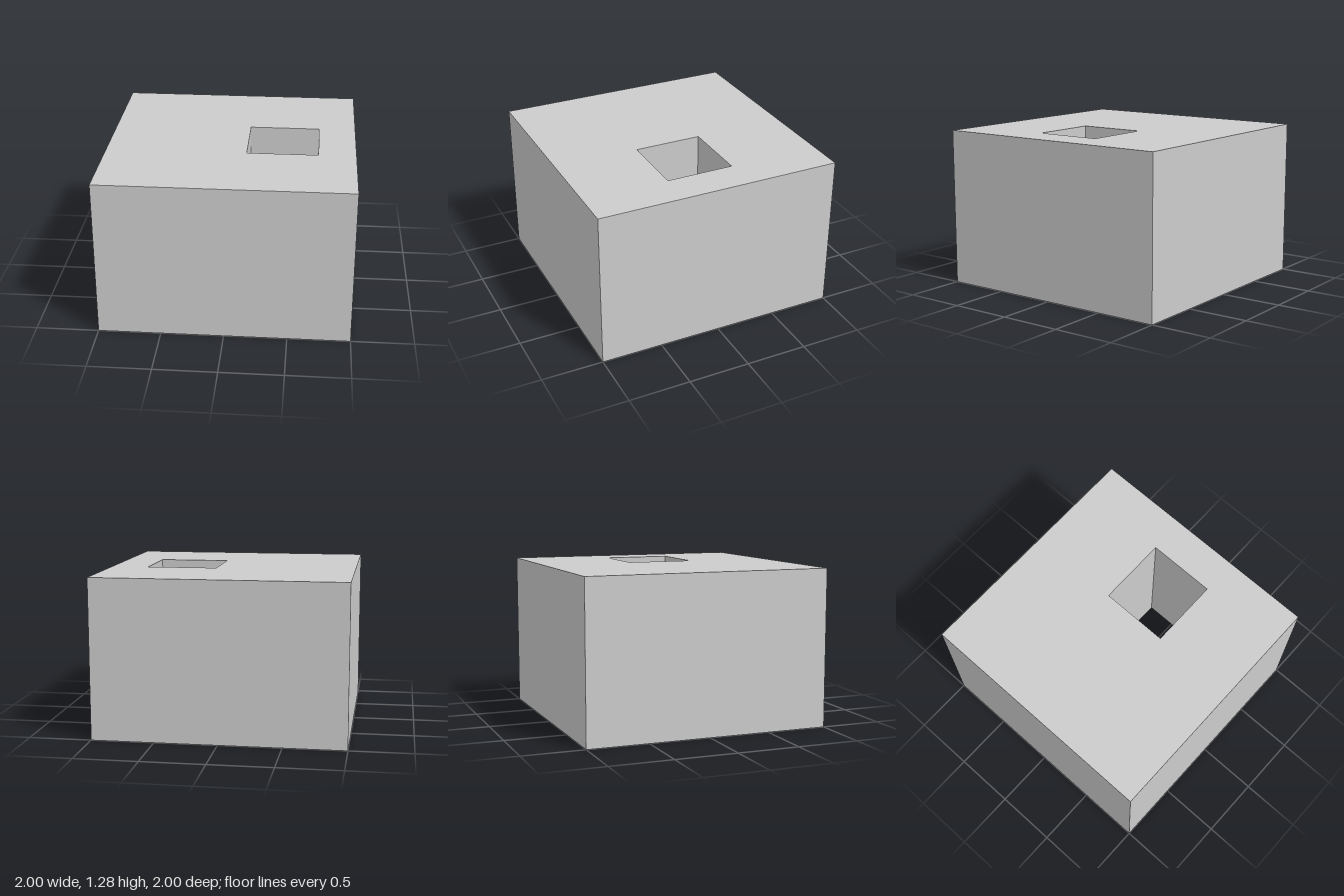
import * as THREE from 'three';

const HEIGHT = 1.28;

// Corners of an axis-aligned rectangle
function rectangle(x0, y0, x1, y1) {
  return [[x0, y0], [x1, y0], [x1, y1], [x0, y1]].map(([x, y]) => new THREE.Vector2(x, y));
}

export function createModel() {
  const model = new THREE.Group();
  model.name = 'piercedBlock';

  // Square footprint with an off-centre rectangular hole (shape y becomes -z)
  const footprint = new THREE.Shape(rectangle(-1, -1, 1, 1));
  footprint.holes.push(new THREE.Path(rectangle(0.13, -0.305, 0.7, 0.245).reverse()));

  // Solid block, the hole running straight through from top to bottom
  const geometry = new THREE.ExtrudeGeometry(footprint, { depth: HEIGHT, bevelEnabled: false });
  geometry.rotateX(-Math.PI / 2);

  const block = new THREE.Mesh(geometry, new THREE.MeshStandardMaterial({ color: 0xcccccc }));
  block.name = 'blockWithSquareHole';
  model.add(block);

  return model;
}
